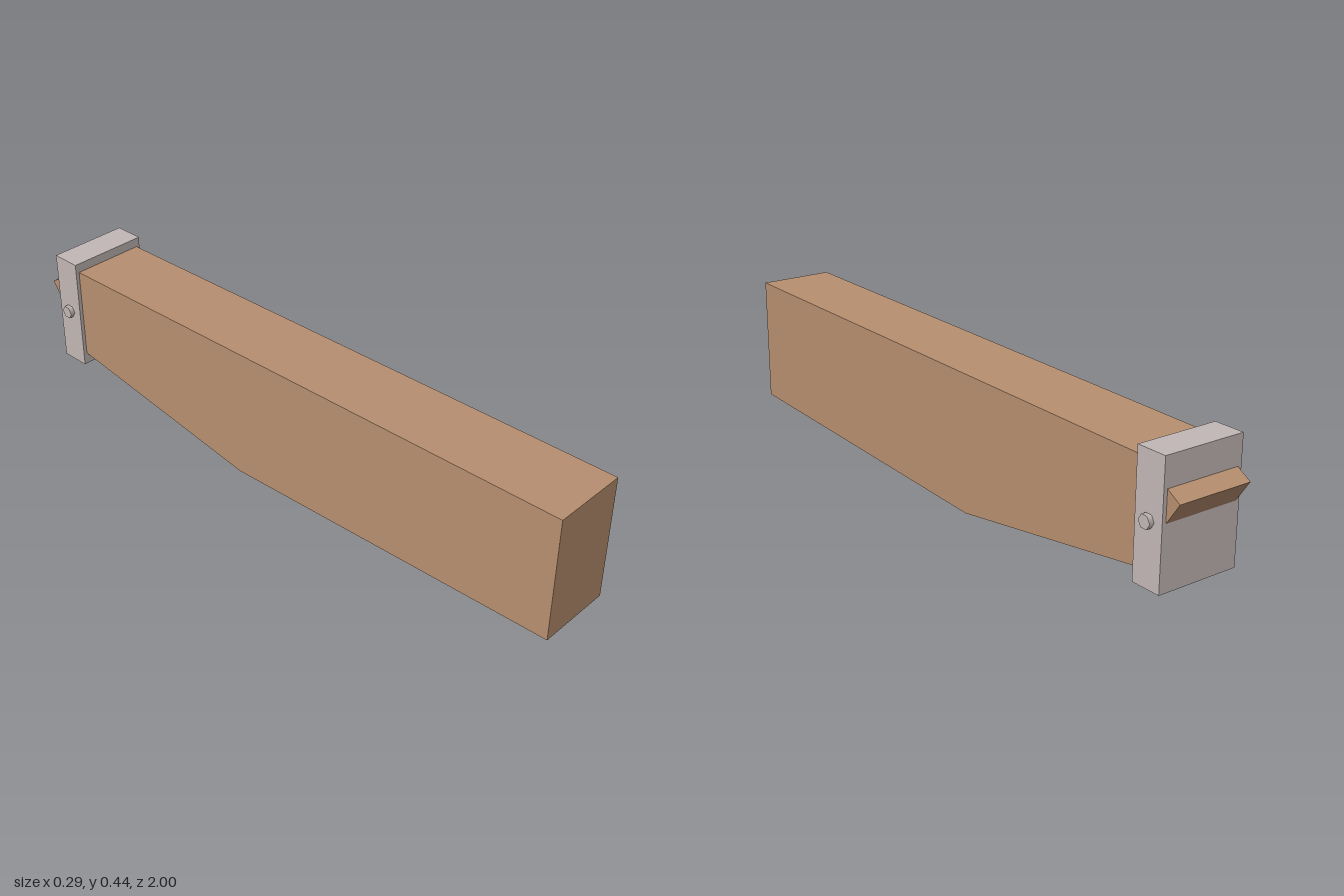
import * as THREE from 'three';

export function createModel() {
  const model = new THREE.Group();
  const wood = new THREE.MeshStandardMaterial({ color: 0xb88f70 });
  wood.name = 'wood';
  const metal = new THREE.MeshStandardMaterial({ color: 0xc2b8b6 });
  metal.name = 'paleMetal';

  const add = (name, geometry, material, x = 0, y = 0, z = 0) => {
    const mesh = new THREE.Mesh(geometry, material);
    mesh.name = name;
    mesh.position.set(x, y, z);
    model.add(mesh);
  };

  // Tapered beam: side profile in (z, y), extruded across the width
  const width = 0.24;
  const profile = [
    [1, 0.045], [1, 0.443], [-0.86, 0.413], [-1, 0.328],
    [-0.955, 0.262], [-0.86, 0.112], [-0.14, 0],
  ].map(([z, y]) => new THREE.Vector2(z, y));
  const beam = new THREE.ExtrudeGeometry(new THREE.Shape(profile), { depth: width, bevelEnabled: false });
  beam.translate(0, 0, -width / 2).rotateY(-Math.PI / 2);
  add('beam', beam, wood);

  // Metal collar around the narrow end
  add('collar', new THREE.BoxGeometry(0.264, 0.37, 0.097), metal, 0, 0.258, -0.907);

  // Cross pin through the collar
  const pin = new THREE.CylinderGeometry(0.021, 0.021, 0.294, 6).rotateZ(Math.PI / 2);
  add('crossPin', pin, metal, 0, 0.258, -0.907);

  return model;
}
